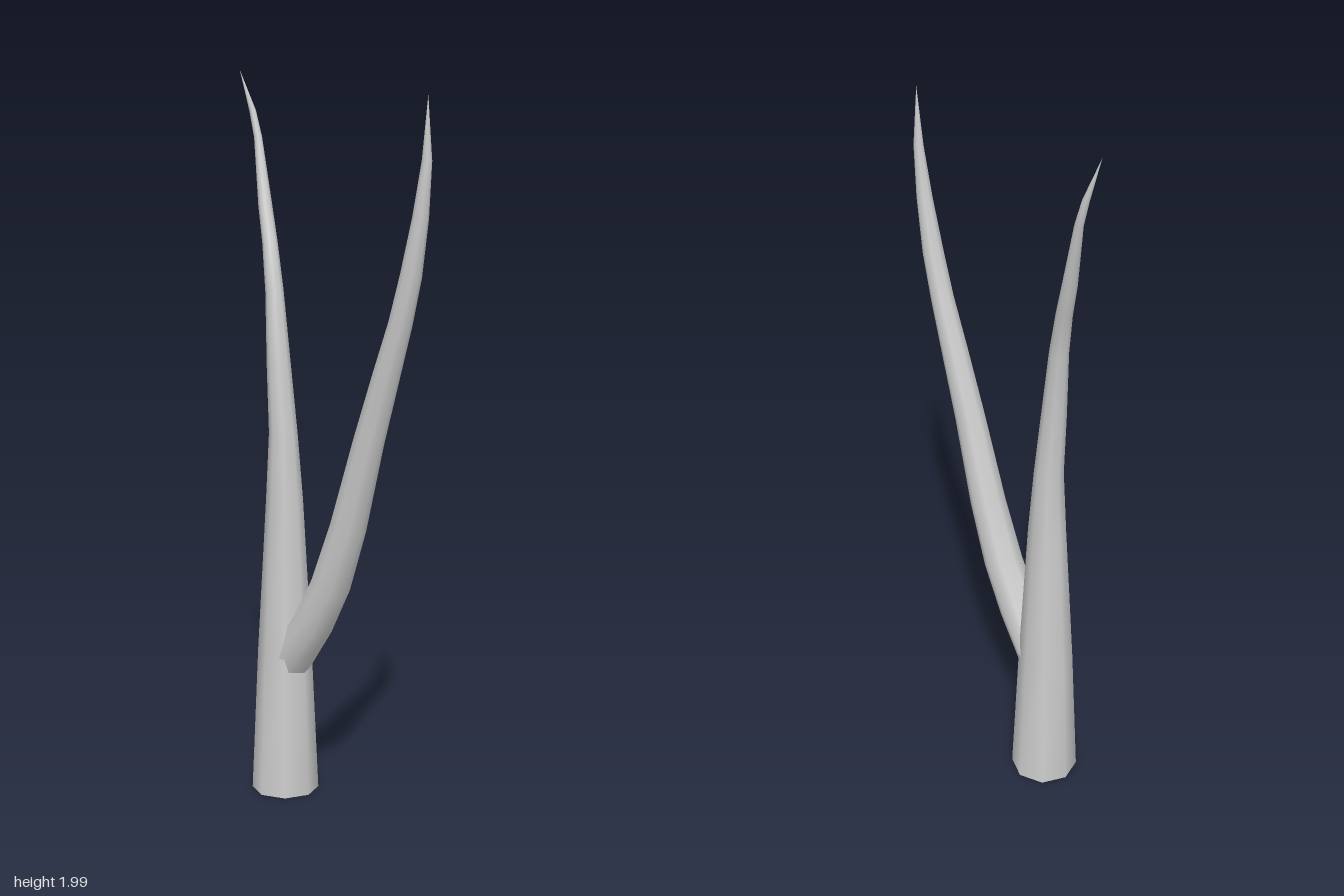
import * as THREE from 'three';

const SIDES = 8;

// Sweeps an open, tapering octagonal tube through stations [x, y, z, radius].
function taperedLimb(name, stations, material) {
  const centres = stations.map(([x, y, z]) => new THREE.Vector3(x, y, z));
  const last = stations.length - 1;
  const positions = [];
  const indices = [];

  centres.forEach((centre, i) => {
    // Each ring stands square to the local direction of the limb.
    const tangent = centres[Math.min(i + 1, last)].clone()
      .sub(centres[Math.max(i - 1, 0)]).normalize();
    if (i === 0 && stations[0][1] === 0) tangent.set(0, 1, 0);
    const across = tangent.clone().cross(new THREE.Vector3(0, 0, 1)).normalize();
    const depth = across.clone().cross(tangent);
    for (let j = 0; j < SIDES; j++) {
      const a = (j / SIDES) * Math.PI * 2;
      const p = centre.clone()
        .addScaledVector(across, Math.cos(a) * stations[i][3])
        .addScaledVector(depth, Math.sin(a) * stations[i][3]);
      positions.push(p.x, p.y, p.z);
      if (i < last) {
        const k = (j + 1) % SIDES;
        const [p0, p1] = [i * SIDES + j, i * SIDES + k];
        indices.push(p0, p0 + SIDES, p1, p1, p0 + SIDES, p1 + SIDES);
      }
    }
  });

  const geometry = new THREE.BufferGeometry();
  geometry.setAttribute('position', new THREE.Float32BufferAttribute(positions, 3));
  geometry.setIndex(indices);
  geometry.computeVertexNormals();
  const mesh = new THREE.Mesh(geometry, material);
  mesh.name = name;
  return mesh;
}

export function createModel() {
  const group = new THREE.Group();
  group.name = 'forkedBranch';
  const material = new THREE.MeshStandardMaterial({ color: 0xcccccc, side: THREE.DoubleSide });

  // Main stem, open at the foot, bending left and back towards its tip
  group.add(taperedLimb('mainStem', [
    [-0.155, 0, 0, 0.093],
    [-0.155, 0.4, 0, 0.075],
    [-0.154, 0.83, 0, 0.051],
    [-0.158, 1.02, 0, 0.039],
    [-0.174, 1.2, 0, 0.033],
    [-0.198, 1.4, -0.008, 0.025],
    [-0.235, 1.53, -0.027, 0.021],
    [-0.27, 1.63, -0.043, 0.019],
    [-0.317, 1.81, -0.062, 0.011],
    [-0.34, 1.88, -0.064, 0.009],
    [-0.37, 1.99, -0.045, 0],
  ], material));

  // Side shoot, rooted inside the stem and curving up to a point
  group.add(taperedLimb('sideShoot', [
    [-0.13, 0.383, 0, 0.06],
    [-0.045, 0.5, 0, 0.057],
    [0.025, 0.625, 0, 0.054],
    [0.09, 0.795, 0, 0.049],
    [0.163, 1.035, 0, 0.041],
    [0.222, 1.21, 0, 0.036],
    [0.272, 1.355, 0, 0.031],
    [0.307, 1.48, 0, 0.028],
    [0.337, 1.625, 0, 0.021],
    [0.356, 1.765, 0, 0.013],
    [0.358, 1.925, 0, 0],
  ], material));

  return group;
}
